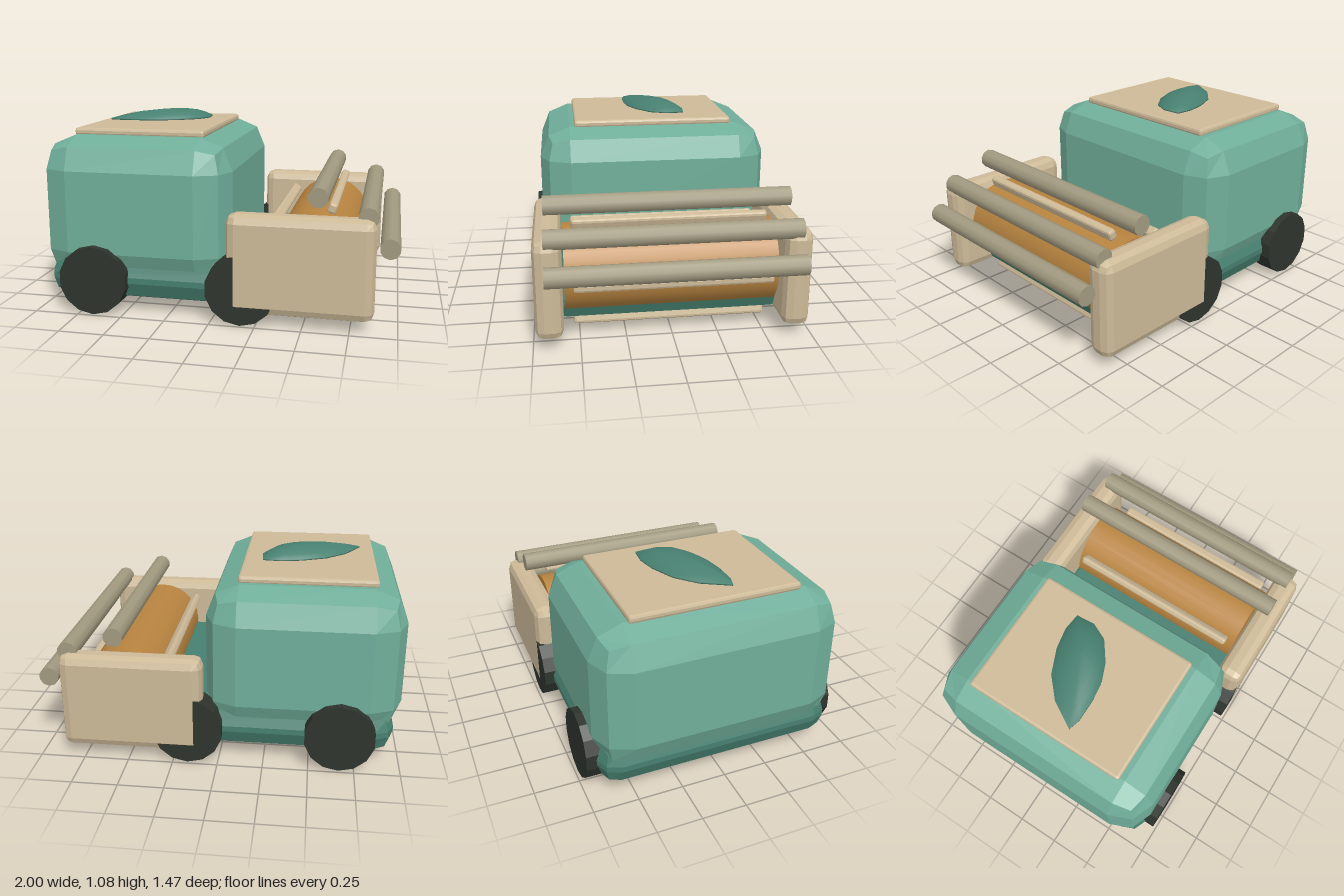
import * as THREE from 'three';
import { RoundedBoxGeometry } from 'three/addons/geometries/RoundedBoxGeometry.js';

const paint = (name, color) => {
  const m = new THREE.MeshStandardMaterial({ color });
  m.name = name;
  return m;
};

export function createModel() {
  const group = new THREE.Group();
  const green = paint('sage green', 0x70ae9a);
  const teal = paint('dark teal', 0x478070);
  const tan = paint('tan', 0xcdba98);
  const ochre = paint('ochre', 0xb88440);
  const grey = paint('grey tan', 0xa29a80);
  const black = paint('tyre black', 0x2e342e);

  const add = (name, geometry, material, x = 0, y = 0, z = 0) => {
    const mesh = new THREE.Mesh(geometry, material);
    mesh.name = name;
    mesh.position.set(x, y, z);
    group.add(mesh);
    return mesh;
  };

  // Box with two-facet bevelled edges, given by its extents
  const bevelBox = (name, material, [x0, x1], [y0, y1], [z0, z1], bevel) => {
    const g = new RoundedBoxGeometry(x1 - x0, y1 - y0, z1 - z0, 1, bevel);
    g.computeVertexNormals();
    return add(name, g, material, (x0 + x1) / 2, (y0 + y1) / 2, (z0 + z1) / 2);
  };

  // Cylinder lying along z
  const roller = (name, material, r, length, sides, x, y, z = 0) =>
    add(name, new THREE.CylinderGeometry(r, r, length, sides).rotateX(Math.PI / 2), material, x, y, z);

  // Body, chassis and roof plate
  bevelBox('body', green, [-1, 0.085], [0.16, 0.98], [-0.69, 0.69], 0.18);
  bevelBox('chassis', teal, [-0.96, 0.7], [0.067, 0.32], [-0.68, 0.68], 0.11);
  bevelBox('roofPlate', tan, [-0.84, -0.085], [0.97, 1.015], [-0.48, 0.48], 0.015);

  // Side panels and wheels
  for (const s of [1, -1]) {
    const side = s > 0 ? 'front' : 'back';
    bevelBox(side + 'SidePanel', tan, [0.085, 0.875], [0.06, 0.61],
      s > 0 ? [0.585, 0.735] : [-0.735, -0.585], 0.05);
    for (const [end, x] of [['Left', -0.665], ['Right', 0.168]]) {
      const wheel = new THREE.CylinderGeometry(0.194, 0.194, 0.134, 14).toNonIndexed();
      wheel.rotateX(Math.PI / 2);
      wheel.computeVertexNormals();
      add(side + end + 'Wheel', wheel, black, x, 0.197, s * 0.667);
    }
  }

  // Drum with five beater bars
  const cx = 0.543, cy = 0.347;
  roller('drum', ochre, 0.24, 1.15, 28, cx, cy);
  for (let i = 0; i < 5; i++) {
    const a = (i / 5) * Math.PI * 2;
    const g = new RoundedBoxGeometry(0.06, 0.048, 1.06, 1, 0.014);
    g.computeVertexNormals();
    add('beaterBar' + (i + 1), g, tan, cx + 0.29 * Math.cos(a), cy + 0.29 * Math.sin(a)).rotation.z = a;
  }

  // Rails around the drum
  [[0.57, 0.71], [0.83, 0.615], [0.945, 0.457]].forEach(([x, y], i) =>
    roller('rail' + (i + 1), grey, 0.055, 1.35, 10, x, y));

  // Domed leaf: its outline shrinks ring by ring towards the top
  const outline = [
    [-0.757, 0.12], [-0.67, -0.03], [-0.56, -0.13], [-0.42, -0.19], [-0.30, -0.213], [-0.2, -0.203],
    [-0.192, -0.096], [-0.237, 0], [-0.345, 0.08], [-0.45, 0.123], [-0.56, 0.139], [-0.69, 0.14],
  ];
  const rings = [[0, 1.026], [1, 1.026], [1, 1.034], [0.8, 1.055], [0.55, 1.073], [0.28, 1.082], [0, 1.085]];
  const n = outline.length, points = [], faces = [];
  for (const [k, y] of rings)
    for (const [x, z] of outline) points.push(-0.38 + (x + 0.38) * k, y, -0.05 + (z + 0.05) * k);
  for (let r = 0; r < rings.length - 1; r++)
    for (let i = 0; i < n; i++) {
      const a = r * n + i, b = r * n + (i + 1) % n;
      faces.push(a, a + n, b, b, a + n, b + n);
    }
  const leaf = new THREE.BufferGeometry();
  leaf.setAttribute('position', new THREE.Float32BufferAttribute(points, 3));
  leaf.setIndex(faces);
  leaf.computeVertexNormals();
  add('leaf', leaf, teal);

  return group;
}
